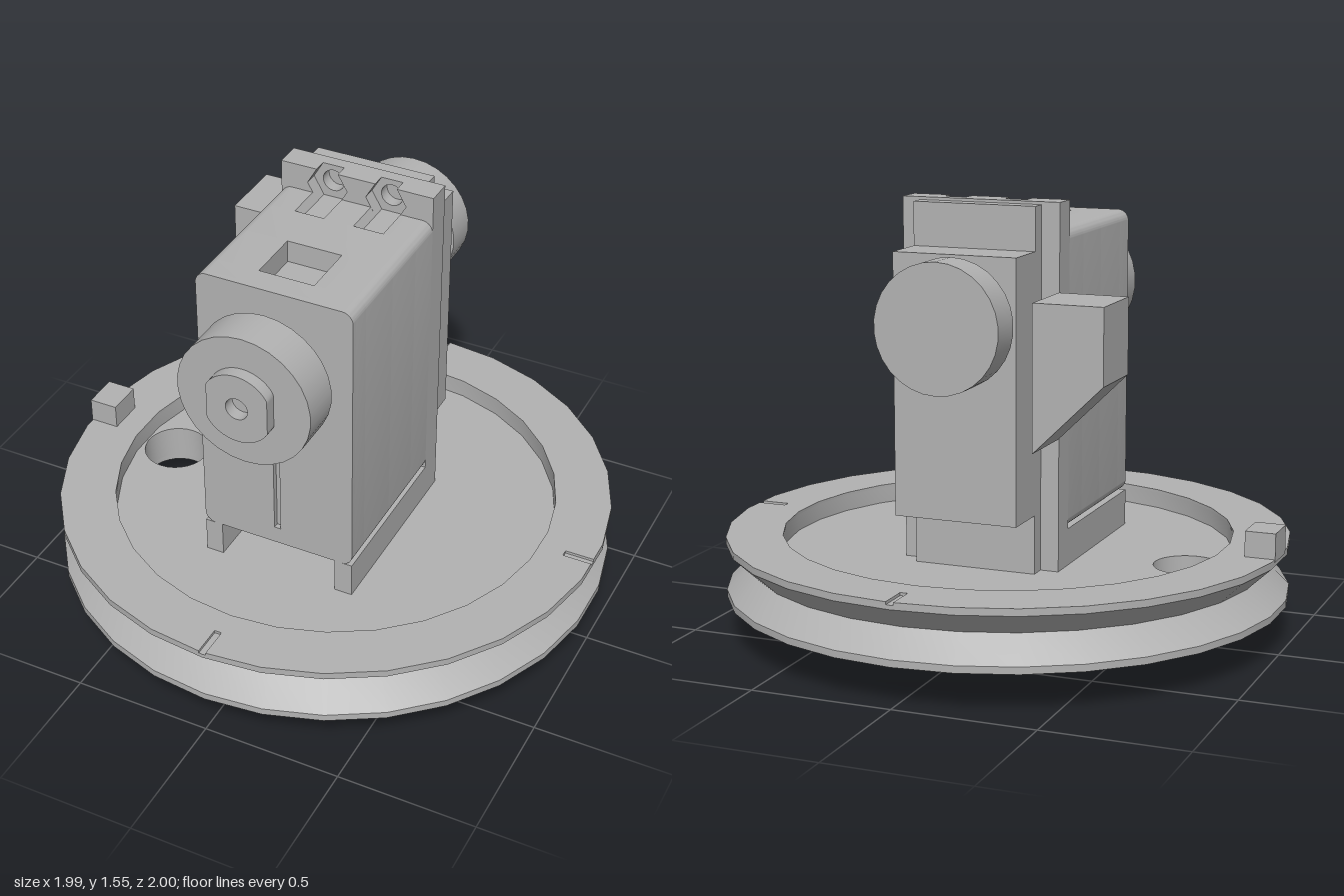
import * as THREE from 'three';
import { toCreasedNormals } from 'three/addons/utils/BufferGeometryUtils.js';

const grey = new THREE.MeshStandardMaterial({ color: 0xb2b2b2 });
grey.name = 'plain grey';

const SEG = 30;
const AXLE_Y = 1.165;
const SCREW_X = 0.11;
const MID_Y = 0.935; // body centre height

export function createModel() {
  const model = new THREE.Group();
  model.name = 'servoTurntable';

  const add = (name, geometry, parent = model) => {
    const mesh = new THREE.Mesh(toCreasedNormals(geometry, 0.6), grey);
    mesh.name = name;
    parent.add(mesh);
    return mesh;
  };
  const group = (name) => {
    const g = new THREE.Group();
    g.name = name;
    model.add(g);
    return g;
  };

  // Regular polygon points
  const ring = (r, cx = 0, cy = 0, n = SEG, start = Math.PI / 2) =>
    Array.from({ length: n }, (_, i) => {
      const a = start + (i / n) * Math.PI * 2;
      return new THREE.Vector2(cx + r * Math.cos(a), cy + r * Math.sin(a));
    });
  const shapeOf = (points, holes = []) => {
    const s = new THREE.Shape(points);
    s.holes = holes.map((h) => new THREE.Path(h));
    return s;
  };
  // Extrusion along z between two depths
  const slabZ = (shape, z0, z1) =>
    new THREE.ExtrudeGeometry(shape, { depth: z1 - z0, bevelEnabled: false, curveSegments: 8 }).translate(0, 0, z0);
  // Extrusion upward between two heights
  const slabY = (shape, y0, y1) => slabZ(shape, y0, y1).rotateX(-Math.PI / 2);
  const boxAt = (x0, x1, y0, y1, z0, z1) =>
    new THREE.BoxGeometry(x1 - x0, y1 - y0, z1 - z0).translate((x0 + x1) / 2, (y0 + y1) / 2, (z0 + z1) / 2);
  const rect = (x0, x1, y0, y1) =>
    [[x0, y0], [x1, y0], [x1, y1], [x0, y1]].map((p) => new THREE.Vector2(...p));
  const discZ = (r, z0, z1) =>
    new THREE.CylinderGeometry(r, r, z1 - z0, SEG).rotateX(Math.PI / 2).translate(0, AXLE_Y, (z0 + z1) / 2);

  // Grooved turntable
  const table = group('turntable');
  const profile = [
    [0.8, 0.14], [1, 0.14], [1, 0.165], [0.915, 0.25], [1, 0.33], [1, 0.345], [0.8, 0.345], [0.8, 0.285],
  ].map((p) => new THREE.Vector2(...p));
  add('groovedRim', new THREE.LatheGeometry(profile, SEG), table);

  // Top of the rim, with index notches cut at front, back and left
  const h = 0.013;
  const rimTop = [];
  ring(1).forEach((p, i) => {
    const a = 90 + i * 12;
    if (a === 90) rimTop.push([h, 1], [h, 0.89], [-h, 0.89], [-h, 1]);
    else if (a === 270) rimTop.push([-h, -1], [-h, -0.89], [h, -0.89], [h, -1]);
    else rimTop.push([p.x, p.y]);
    if (a === 354) rimTop.push([0.9945, -h], [0.89, -h], [0.89, h], [0.9945, h]);
  });
  add('notchedRimTop', slabY(shapeOf(rimTop.map((p) => new THREE.Vector2(...p)), [ring(0.8)]), 0.345, 0.355), table);
  add('stopBlock', boxAt(-0.997, -0.89, 0.345, 0.445, -0.068, 0.065), table);

  // Recessed floor with cable hole, shaft hole and screw holes
  const cableHole = ring(0.12, -0.67, 0);
  const screwHoles = [[1, 1], [-1, 1], [-1, -1], [1, -1]].map(([x, y]) => ring(0.03, 0.13 * x, 0.13 * y, 16));
  add('floor', slabY(shapeOf(ring(0.8), [cableHole, ring(0.09), ...screwHoles]), 0.16, 0.285), table);
  add('floorUnderside', slabY(shapeOf(ring(0.8), [cableHole, ring(0.226)]), 0.14, 0.16), table);

  // Hollow gear under the table
  const teeth = 28;
  const gear = [];
  for (let i = 0; i < teeth; i++) {
    for (const [f, r] of [[-0.3, 0.255], [-0.15, 0.307], [0.15, 0.307], [0.3, 0.255]]) {
      const a = ((i + f) / teeth) * Math.PI * 2;
      gear.push(new THREE.Vector2(r * Math.cos(a), r * Math.sin(a)));
    }
  }
  add('gear', slabY(shapeOf(gear, [ring(0.226)]), 0, 0.14), table);

  // Rounded body section; each notch is [centre x, half width at edge, half width inside, depth]
  const bodySection = (topNotches = [], bottomNotches = []) => {
    const w = 0.285, t = 0.52, r = 0.04;
    const s = new THREE.Shape();
    const cut = (notches, side) => notches.forEach(([c, a, b, d]) => {
      for (const [x, y] of [[a, t], [b, t - d], [-b, t - d], [-a, t]]) s.lineTo(side * (c + x), MID_Y + side * y);
    });
    s.moveTo(w, MID_Y - t + r);
    s.absarc(w - r, MID_Y + t - r, r, 0, Math.PI / 2);
    cut(topNotches, 1);
    s.absarc(-w + r, MID_Y + t - r, r, Math.PI / 2, Math.PI);
    s.absarc(-w + r, MID_Y - t + r, r, Math.PI, Math.PI * 1.5);
    cut(bottomNotches, -1);
    s.absarc(w - r, MID_Y - t + r, r, Math.PI * 1.5, Math.PI * 2);
    return s;
  };
  const body = group('body');
  const front = bodySection();
  front.holes.push(new THREE.Path(rect(-0.012, 0.012, 0.48, 0.86)));
  const nutSlots = [SCREW_X, -SCREW_X].map((x) => [x, 0.055, 0.0375, 0.03]);
  add('slottedFront', slabZ(front, 0.435, 0.455), body);
  add('frontSection', slabZ(bodySection(), 0.36, 0.435), body);
  add('topPocketSection', slabZ(bodySection([[0, 0.1, 0.1, 0.08]]), 0.16, 0.36), body);
  add('middleSection', slabZ(bodySection(), -0.02, 0.16), body);
  add('nutSlotSection', slabZ(bodySection(nutSlots, nutSlots), -0.155, -0.02), body);

  // Mounting flange: hexagonal nut seats in front, round screw holes behind
  const mount = group('mount');
  const outline = [[-0.285, 0.285], [0.285, 0.285], [0.285, 1.55]];
  for (const c of [SCREW_X, -SCREW_X]) {
    for (const [x, y] of [[0.04, 1.55], [0.075, 1.49], [0.0375, 1.425], [-0.0375, 1.425], [-0.075, 1.49], [-0.04, 1.55]]) {
      outline.push([c + x, y]);
    }
  }
  outline.push([-0.285, 1.55]);
  const lowerNuts = [SCREW_X, -SCREW_X].map((x) => ring(0.075, x, 0.385, 6, 0));
  const flangeHoles = [SCREW_X, -SCREW_X].flatMap((x) => [ring(0.04, x, 1.49, 20), ring(0.04, x, 0.385, 20)]);
  add('flangeFront', slabZ(shapeOf(outline.map((p) => new THREE.Vector2(...p)), lowerNuts), -0.205, -0.155), mount);
  add('flangeBack', slabZ(shapeOf(rect(-0.285, 0.285, 0.285, 1.55), flangeHoles), -0.25, -0.205), mount);
  add('backPlate', boxAt(-0.22, 0.22, 0.285, 1.54, -0.307, -0.25), mount);
  add('rearHousing', boxAt(-0.22, 0.22, 0.49, 1.39, -0.477, -0.307), mount);

  // Side rails that carry the body
  for (const side of [-1, 1]) {
    add(side > 0 ? 'leftRail' : 'rightRail',
      boxAt(-0.0325, 0.0325, 0.285, 0.415, -0.155, 0.455).translate(side * 0.2525, 0, 0), mount);
  }

  // Wedge-bottomed box on the right side
  const wedge = [[-0.53, 0.99], [-0.285, 0.75], [-0.285, 1.25], [-0.53, 1.25]].map((p) => new THREE.Vector2(...p));
  add('sideBox', slabZ(shapeOf(wedge), -0.5, -0.255), mount);

  // Front wheel with flat-sided hub
  const frontWheel = group('frontWheel');
  add('frontShaft', discZ(0.13, 0.455, 0.52), frontWheel);
  add('frontDisc', discZ(0.242, 0.52, 0.67), frontWheel);
  const hub = ring(0.128, 0, AXLE_Y, 60);
  hub.forEach((p) => { p.x = THREE.MathUtils.clamp(p.x, -0.11, 0.11); });
  add('frontHub', slabZ(shapeOf(hub, [ring(0.04, 0, AXLE_Y, 24)]), 0.67, 0.715), frontWheel);

  // Rear wheel
  const rearWheel = group('rearWheel');
  add('rearShaft', discZ(0.07, -0.5, -0.477), rearWheel);
  add('rearDisc', discZ(0.22, -0.63, -0.5), rearWheel);

  return model;
}
